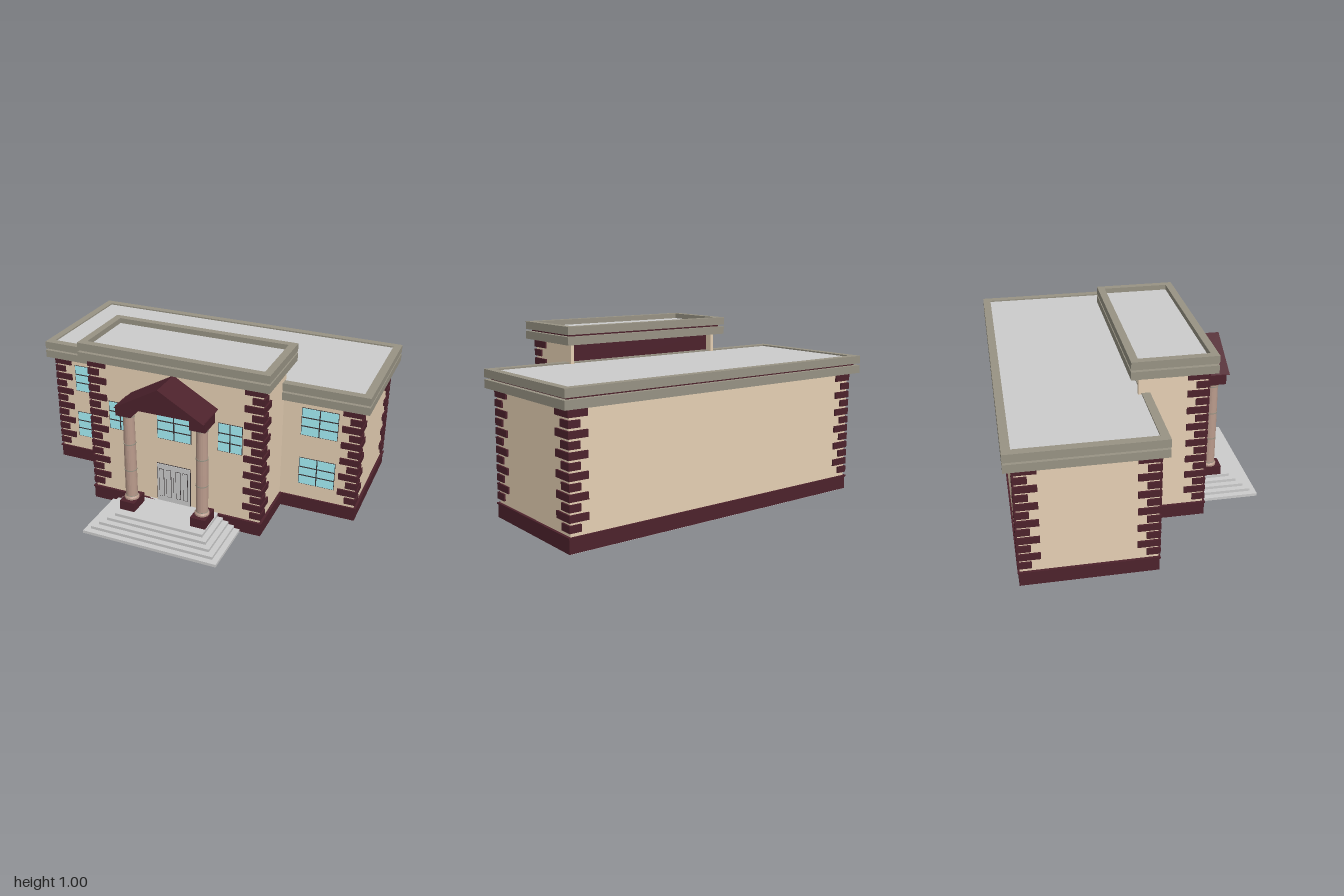
import * as THREE from 'three';

const mat = (color) => new THREE.MeshStandardMaterial({ color });
const M = {
  wall: mat(0xe6d0b4), dark: mat(0x4d222c), cornice: mat(0x989384),
  glass: mat(0xa6f0f8), column: mat(0xba9b8c), grey: mat(0xcccccc), bar: mat(0x3a3436),
};

function mesh(parent, name, geometry, material) {
  const m = new THREE.Mesh(geometry, material);
  m.name = name;
  parent.add(m);
  return m;
}

// Box given by its limits on each axis
function box(parent, name, material, x0, x1, y0, y1, z0, z1) {
  const m = mesh(parent, name, new THREE.BoxGeometry(x1 - x0, y1 - y0, z1 - z0), material);
  m.position.set((x0 + x1) / 2, (y0 + y1) / 2, (z0 + z1) / 2);
  return m;
}

function group(parent, name) {
  const g = new THREE.Group();
  g.name = name;
  parent.add(g);
  return g;
}

// Two-tier cornice with a dark recessed band and a sunken roof panel
function cornice(parent, name, hx, z0, z1, y, rim, sink) {
  const g = group(parent, name);
  box(g, 'lowerTier', M.cornice, -hx, hx, y, y + 0.045, z0, z1);
  box(g, 'recessedBand', M.dark, -hx + 0.025, hx - 0.025, y + 0.045, y + 0.056, z0 + 0.025, z1 - 0.025);
  const ring = new THREE.Shape([[-hx, -z1], [hx, -z1], [hx, -z0], [-hx, -z0]].map((p) => new THREE.Vector2(...p)));
  const ix = hx - rim;
  ring.holes.push(new THREE.Path([[-ix, -z1 + rim], [-ix, -z0 - rim], [ix, -z0 - rim], [ix, -z1 + rim]]
    .map((p) => new THREE.Vector2(...p))));
  const geo = new THREE.ExtrudeGeometry(ring, { depth: 0.044, bevelEnabled: false });
  geo.rotateX(-Math.PI / 2);
  mesh(g, 'parapet', geo, M.cornice).position.y = y + 0.056;
  box(g, 'roofPanel', M.grey, -ix, ix, y + 0.056, y + 0.1 - sink, z0 + rim, z1 - rim);
}

// Corner stones, alternating short and long; sx, sz point outward
function quoins(parent, x, z, sx, sz, rows) {
  const g = group(parent, 'cornerStones');
  for (let i = 0; i < rows; i++) {
    const lx = i % 2 ? 0.11 : 0.067, lz = i % 2 ? 0.12 : 0.073;
    const m = mesh(g, 'cornerStone', new THREE.BoxGeometry(lx, 0.037, lz), M.dark);
    m.position.set(x - sx * lx / 2, 0.123 + i * 0.05, z - sz * lz / 2);
  }
}

// Glazed window with one upright and two cross bars
function windowAt(parent, x, y, w, z) {
  const g = group(parent, 'window');
  const h = 0.165;
  g.position.set(x, y, z);
  box(g, 'frame', M.bar, -w / 2 - 0.003, w / 2 + 0.003, -h / 2 - 0.003, h / 2 + 0.003, -0.005, 0.002);
  box(g, 'pane', M.glass, -w / 2, w / 2, -h / 2, h / 2, -0.005, 0.004);
  box(g, 'upright', M.bar, -0.003, 0.003, -h / 2, h / 2, 0, 0.006);
  for (const by of [-0.027, 0.027]) box(g, 'crossBar', M.bar, -w / 2, w / 2, by - 0.003, by + 0.003, 0, 0.006);
}

export function createModel() {
  const root = new THREE.Group();
  root.name = 'townHall';

  // Plinths with a thin lip, on grey floor slabs
  for (const [hx, z0, z1] of [[0.96, -0.695, 0.025], [0.52, 0, 0.38]]) {
    box(root, 'floorSlab', M.grey, -hx + 0.002, hx - 0.002, 0, 0.01, z0 + 0.002, z1 - 0.002);
    box(root, 'plinth', M.dark, -hx, hx, 0.002, 0.078, z0, z1);
    box(root, 'plinthLip', M.dark, -hx - 0.005, hx + 0.005, 0.075, 0.084, z0 - 0.005, z1 + 0.005);
  }

  // Main wing
  box(root, 'mainWalls', M.wall, -0.95, 0.95, 0.08, 0.71, -0.69, 0.02);
  cornice(root, 'mainCornice', 1, -0.74, 0.06, 0.7, 0.045, 0.008);
  for (const sx of [-1, 1]) for (const z of [-0.7, 0.03]) quoins(root, sx * 0.96, z, sx, z > 0 ? 1 : -1, 12);

  // Taller entrance block, its upper back set in between the side walls
  box(root, 'entranceWalls', M.wall, -0.51, 0.51, 0.08, 0.91, 0.05, 0.37);
  box(root, 'upperBackPanel', M.dark, -0.49, 0.49, 0.72, 0.905, 0.04, 0.06);
  for (const sx of [-1, 1]) {
    box(root, 'sideWallEnd', M.wall, sx * 0.5 - 0.01, sx * 0.5 + 0.01, 0.08, 0.91, -0.003, 0.06);
    quoins(root, sx * 0.52, 0.38, sx, 1, 16);
  }
  cornice(root, 'entranceCornice', 0.555, -0.05, 0.415, 0.9, 0.042, 0.03);

  // Windows
  for (const sx of [-1, 1]) {
    for (const y of [0.258, 0.573]) windowAt(root, sx * 0.723, y, 0.205, 0.02);
    windowAt(root, sx * 0.33, 0.573, 0.135, 0.37);
  }
  windowAt(root, 0, 0.573, 0.2, 0.37);

  // Double door with framed panels
  const door = group(root, 'door');
  door.position.set(-0.006, 0, 0.37);
  box(door, 'doorFrame', M.bar, -0.104, 0.104, 0.082, 0.328, -0.01, 0.003);
  for (const sx of [-1, 1]) {
    const cx = sx * 0.051;
    box(door, 'doorLeaf', M.grey, cx - 0.0495, cx + 0.0495, 0.084, 0.325, -0.01, 0.006);
    for (const px of [-0.022, 0.022]) {
      box(door, 'doorGroove', M.bar, cx + px - 0.015, cx + px + 0.015, 0.115, 0.295, 0, 0.007);
      box(door, 'doorPanel', M.grey, cx + px - 0.012, cx + px + 0.012, 0.118, 0.292, 0, 0.009);
    }
  }

  // Steps wrapping three sides
  const steps = group(root, 'steps');
  for (let i = 0; i < 5; i++) {
    const inset = i * 0.0335;
    box(steps, 'step', M.grey, -0.4 + inset, 0.4 - inset, i * 0.0168, (i + 1) * 0.0168, 0.36, 0.735 - inset);
  }

  // Columns
  const profile = [[0, 0.138], [0.042, 0.138], [0.042, 0.15], [0.037, 0.157], [0.034, 0.162], [0.034, 0.4],
    [0.031, 0.655], [0.034, 0.66], [0.034, 0.668], [0.044, 0.682], [0, 0.682]].map((p) => new THREE.Vector2(...p));
  for (const sx of [-1, 1]) {
    const c = group(root, 'column');
    c.position.set(sx * 0.216, 0, 0.485);
    box(c, 'pedestal', M.dark, -0.045, 0.045, 0.082, 0.14, -0.065, 0.065);
    const shaft = new THREE.LatheGeometry(profile, 24).toNonIndexed();
    shaft.computeVertexNormals();
    mesh(c, 'shaft', shaft, M.column);
    for (const y of [0.16, 0.325, 0.49, 0.66]) {
      mesh(c, 'ringBand', new THREE.CylinderGeometry(0.0355, 0.0355, 0.006, 24), M.cornice).position.y = y;
    }
    box(c, 'capital', M.dark, -0.045, 0.045, 0.68, 0.738, -0.065, 0.065);
  }

  // Pediment: recessed gable under two thick sloping slabs
  const ped = group(root, 'pediment');
  const prism = (name, pts, z0, z1) => {
    const shape = new THREE.Shape(pts.map((p) => new THREE.Vector2(...p)));
    mesh(ped, name, new THREE.ExtrudeGeometry(shape, { depth: z1 - z0, bevelEnabled: false }), M.dark).position.z = z0;
  };
  prism('gable', [[-0.25, 0.735], [0.25, 0.735], [0, 0.872]], 0.365, 0.555);
  prism('gableRoof', [[-0.26, 0.735], [-0.225, 0.735], [0, 0.862], [0.225, 0.735], [0.26, 0.735], [0, 0.885]], 0.365, 0.57);

  return root;
}
